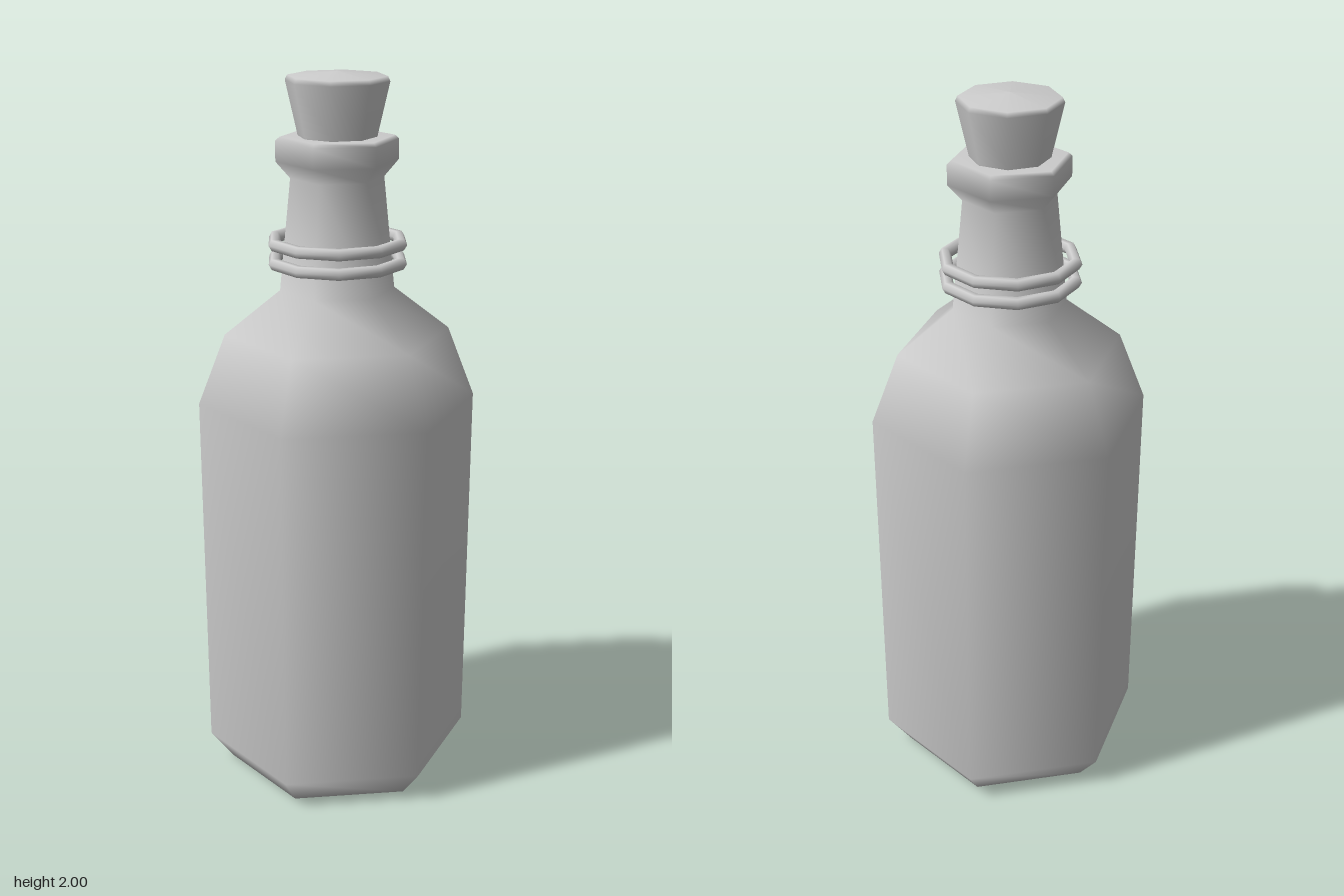
import * as THREE from 'three';

const grey = new THREE.MeshStandardMaterial({ color: 0xcccccc });
grey.name = 'plainGrey';

// Smooth faceted solid of revolution with a corner on the x axis
function lathe(name, profile, sides) {
  const points = profile.map(([r, y]) => new THREE.Vector2(r, y));
  const mesh = new THREE.Mesh(new THREE.LatheGeometry(points, sides, Math.PI / 2), grey);
  mesh.name = name;
  return mesh;
}

export function createModel() {
  const model = new THREE.Group();
  model.name = 'corkedBottle';

  // Six-sided body, shoulder, neck and lip
  model.add(lathe('bottle', [
    [0, 0], [0.31, 0], [0.375, 0.08], [0.385, 1.1], [0.31, 1.295],
    [0.157, 1.415], [0.127, 1.72], [0.166, 1.765], [0.166, 1.82],
    [0.155, 1.83], [0, 1.83],
  ], 6));

  // Eight-sided tapered stopper with a shallow crown
  model.add(lathe('cork', [
    [0, 1.76], [0.095, 1.76], [0.108, 1.835], [0.14, 1.975], [0.134, 1.988], [0, 2],
  ], 8));

  // Two loose rings around the neck
  [1.495, 1.547].forEach((y, i) => {
    const geometry = new THREE.TorusGeometry(0.178, 0.017, 6, 10);
    geometry.rotateX(Math.PI / 2);
    const ring = new THREE.Mesh(geometry, grey);
    ring.name = i ? 'upperNeckRing' : 'lowerNeckRing';
    ring.position.y = y;
    model.add(ring);
  });

  return model;
}
